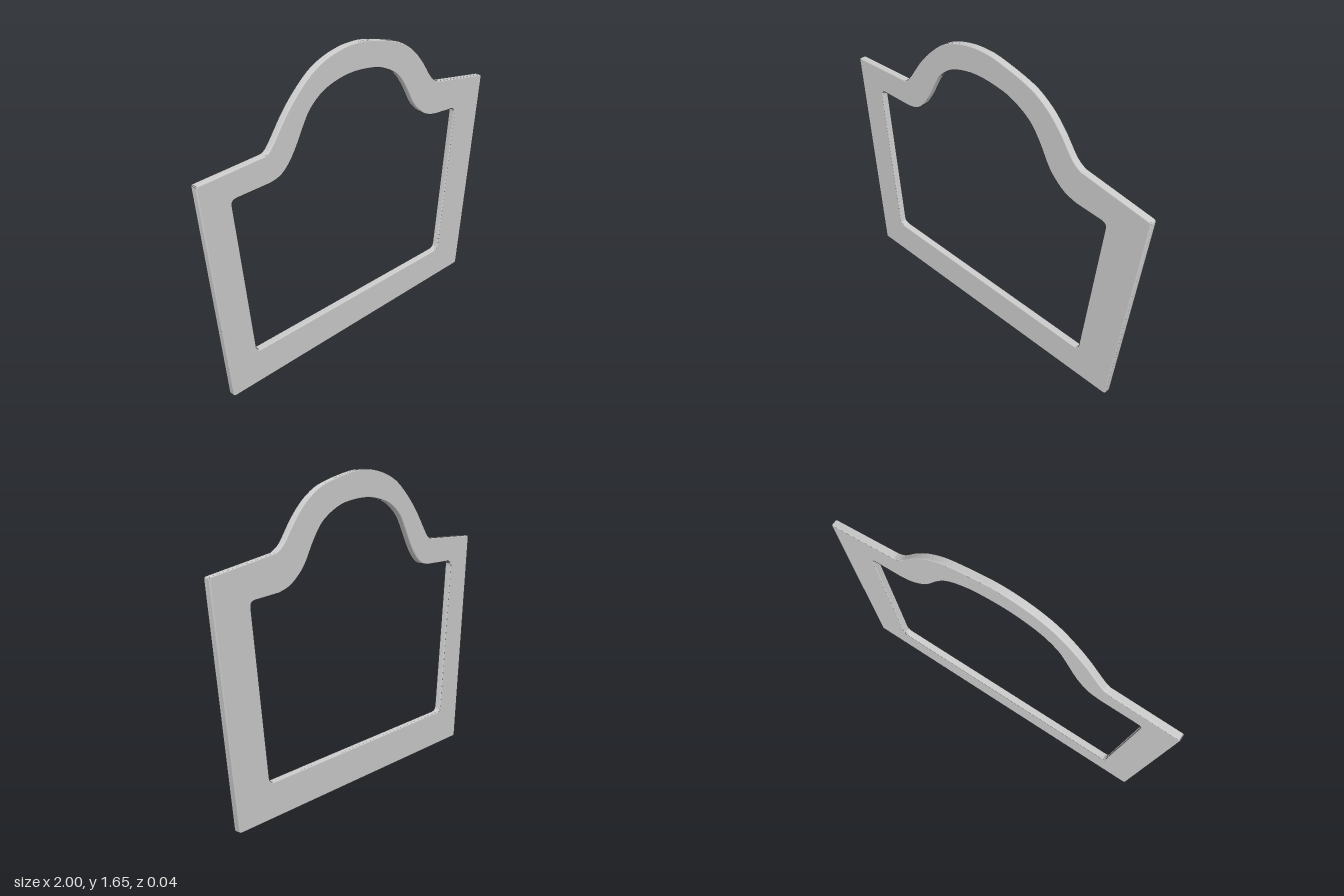
import * as THREE from 'three';
import { toCreasedNormals } from 'three/addons/utils/BufferGeometryUtils.js';

const DEPTH = 0.04;
const BEVEL = 0.006;

// Closed outline: an arched run of points, then straight sides with rounded corners.
function tracePath(path, arch, corners, radius) {
  const curve = arch.map(([x, y]) => new THREE.Vector2(x, y));
  const turns = corners.map(([x, y]) => new THREE.Vector2(x, y));
  path.moveTo(curve[0].x, curve[0].y);
  path.splineThru(curve.slice(1));
  turns.forEach((corner, i) => {
    const before = turns[i - 1] ?? curve[curve.length - 1];
    const after = turns[i + 1] ?? curve[0];
    const start = before.clone().sub(corner).setLength(radius).add(corner);
    const end = after.clone().sub(corner).setLength(radius).add(corner);
    path.lineTo(start.x, start.y);
    path.quadraticCurveTo(corner.x, corner.y, end.x, end.y);
  });
  path.closePath();
  return path;
}

export function createModel() {
  const group = new THREE.Group();
  group.name = 'archedFrame';

  // Outer edge, counter-clockwise: arch from right to left, then the sides
  const outline = tracePath(new THREE.Shape(), [
    [0.6, 1.281], [0.55, 1.318], [0.475, 1.422], [0.4, 1.503], [0.315, 1.563],
    [0.24, 1.594], [0.14, 1.622], [0.04, 1.644], [-0.03, 1.649], [-0.11, 1.645],
    [-0.205, 1.625], [-0.3, 1.585], [-0.39, 1.515], [-0.48, 1.42], [-0.585, 1.278], [-0.63, 1.26],
  ], [[-1.002, 1.25], [-0.897, 0.03], [0.867, 0], [1, 1.21]], 0.013);

  // Opening, clockwise: arch from left to right, then the sides
  const opening = tracePath(new THREE.Path(), [
    [-0.59, 1.113], [-0.53, 1.127], [-0.475, 1.17], [-0.425, 1.24], [-0.37, 1.34],
    [-0.33, 1.4], [-0.265, 1.453], [-0.195, 1.483], [-0.1, 1.502], [-0.005, 1.503],
    [0.1, 1.489], [0.16, 1.472], [0.235, 1.435], [0.295, 1.387], [0.35, 1.31],
    [0.4, 1.222], [0.44, 1.172], [0.51, 1.117], [0.585, 1.092],
  ], [[0.765, 1.075], [0.668, 0.188], [-0.735, 0.222], [-0.82, 1.113]], 0.028);
  outline.holes.push(opening);

  // Flat slab with softened edges
  const slab = new THREE.ExtrudeGeometry(outline, {
    depth: DEPTH - 2 * BEVEL,
    bevelThickness: BEVEL,
    bevelSize: BEVEL,
    bevelOffset: -BEVEL,
    bevelSegments: 3,
    curveSegments: 3,
  });
  slab.translate(0, 0, BEVEL - DEPTH / 2);

  const frame = new THREE.Mesh(
    toCreasedNormals(slab, 0.2),
    new THREE.MeshStandardMaterial({ color: 0xcccccc }),
  );
  frame.name = 'frame';
  group.add(frame);
  return group;
}
